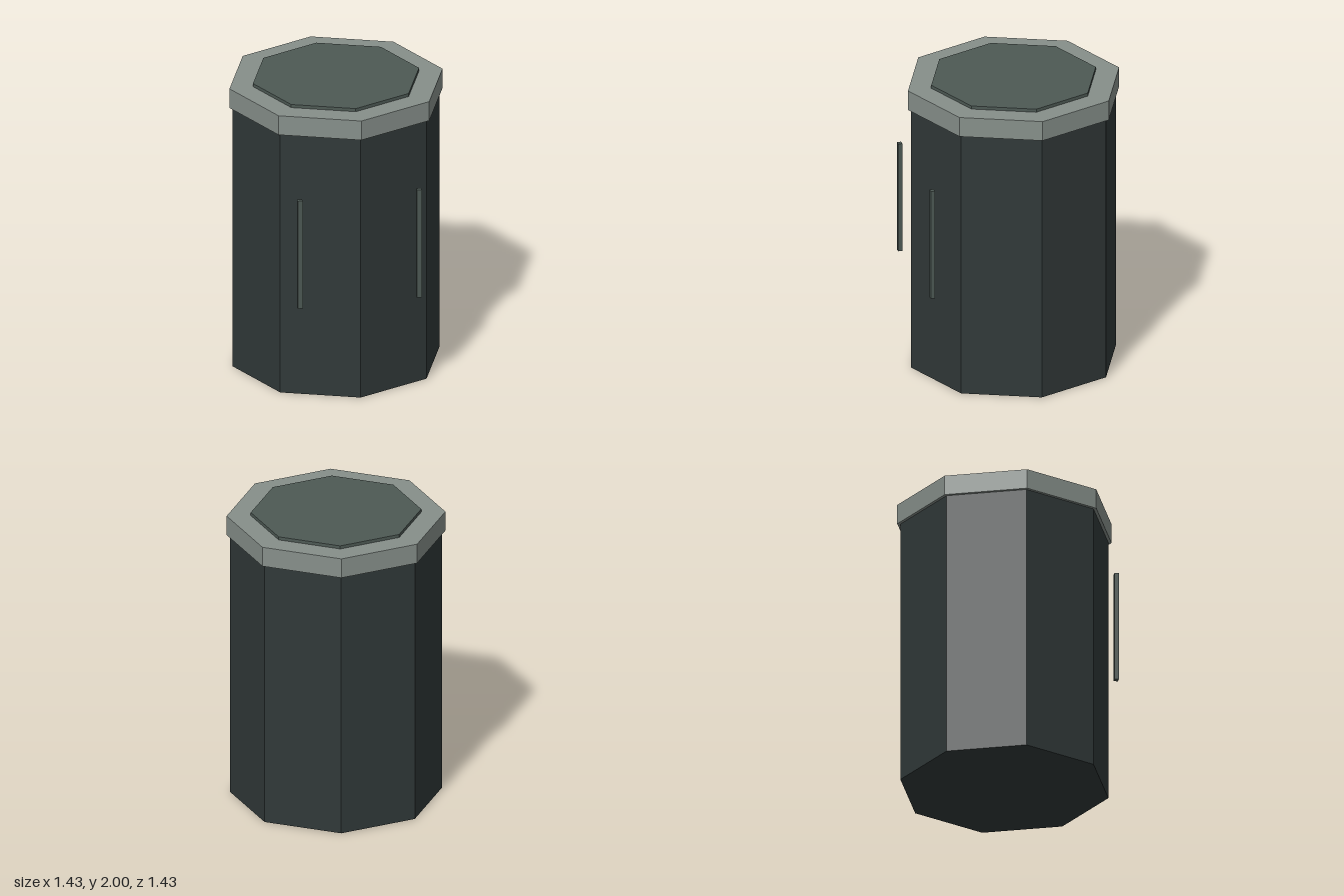
import * as THREE from 'three';

const flat = (name, color) => {
  const m = new THREE.MeshStandardMaterial({ color, flatShading: true });
  m.name = name;
  return m;
};

export function createModel() {
  const group = new THREE.Group();
  group.name = 'octagonalBin';

  const darkGrey = flat('dark grey', 0x303838);
  const paleGrey = flat('pale grey', 0x868f8a);
  const slate = flat('slate green', 0x4d5954);

  const add = (name, geometry, material, x, y, z) => {
    const mesh = new THREE.Mesh(geometry, material);
    mesh.name = name;
    mesh.position.set(x, y, z);
    group.add(mesh);
  };

  // Eight-sided prism with corners on the x and z axes
  const octagon = (name, radius, y0, y1, material) =>
    add(name, new THREE.CylinderGeometry(radius, radius, y1 - y0, 8), material, 0, (y0 + y1) / 2, 0);

  octagon('body', 0.695, 0, 1.86, darkGrey);
  octagon('rim', 0.716, 1.842, 1.978, paleGrey);
  octagon('lid', 0.558, 1.94, 2, slate);

  // Pair of slim upright bars standing off the front faces
  const bar = new THREE.BoxGeometry(0.033, 0.766, 0.028);
  for (const side of [1, -1]) {
    add(side > 0 ? 'leftBar' : 'rightBar', bar, slate, side * 0.4, 1.048, 0.662);
  }

  return group;
}
